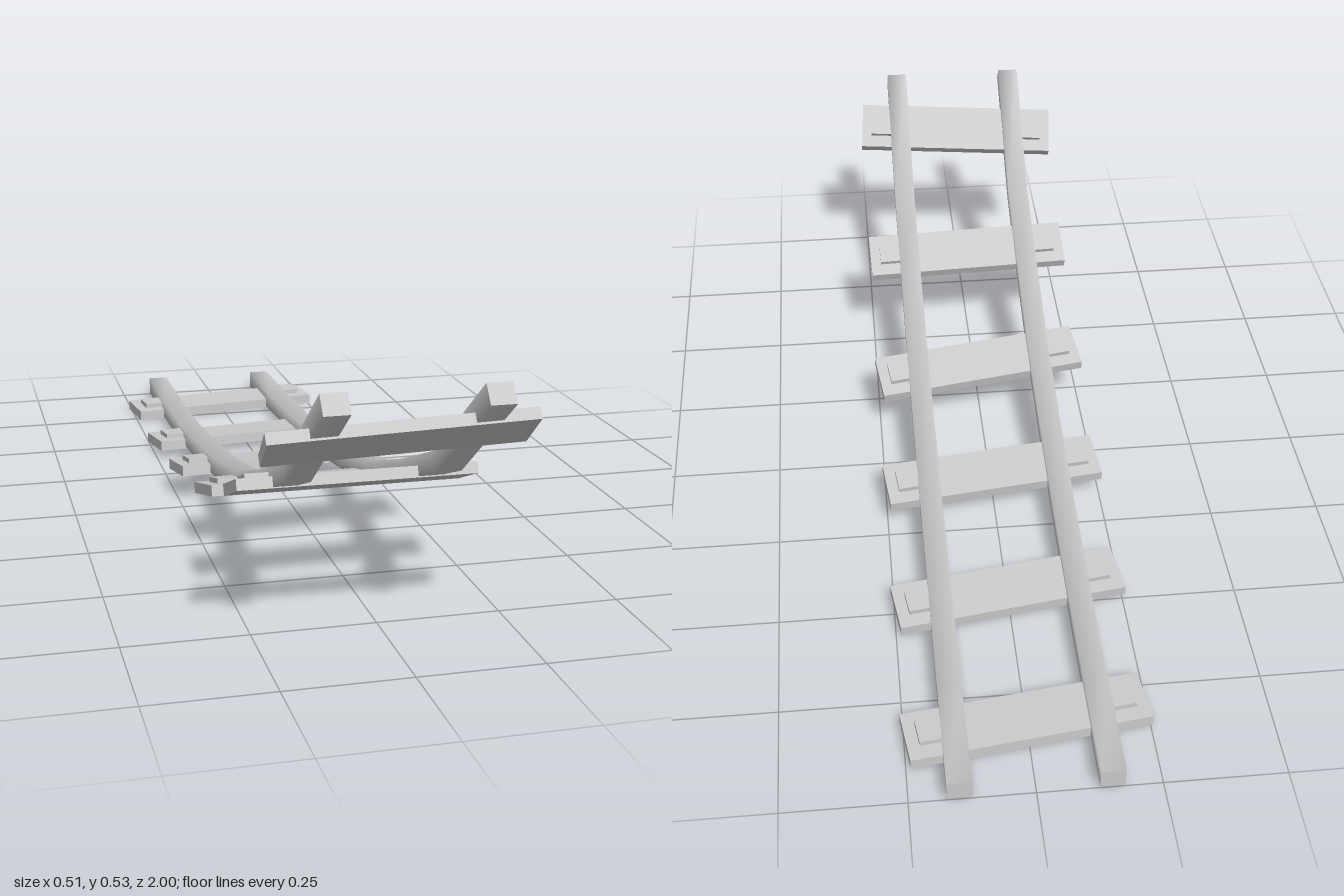
import * as THREE from 'three';

const material = new THREE.MeshStandardMaterial({ color: 0xcccccc, side: THREE.DoubleSide });

// Centre line of a rail as [z, y], from the flat end to the raised end
const path = [
  [-1, 0.027], [-0.75, 0.027], [-0.5, 0.037], [-0.25, 0.06], [0, 0.093],
  [0.235, 0.137], [0.48, 0.217], [0.71, 0.307], [0.986, 0.516],
];
const RAIL_W = 0.05, RAIL_H = 0.043, RAIL_X = 0.15;

function heightAt(z) {
  let i = 0;
  while (i < path.length - 2 && path[i + 1][0] < z) i++;
  const [z0, y0] = path[i], [z1, y1] = path[i + 1];
  return y0 + (y1 - y0) * (z - z0) / (z1 - z0);
}

// Square section swept along the path, with softened long sides and flat ends
function railGeometry() {
  const positions = [], index = [];
  const corners = [[-1, -1], [1, -1], [1, 1], [-1, 1]];
  const last = path.length - 1;
  const addRing = (i) => {
    const a = path[Math.max(i - 1, 0)], b = path[Math.min(i + 1, last)];
    const tilt = Math.atan2(b[1] - a[1], b[0] - a[0]);
    for (const [sx, sy] of corners) {
      const h = sy * RAIL_H / 2;
      positions.push(sx * RAIL_W / 2, path[i][1] + h * Math.cos(tilt), path[i][0] - h * Math.sin(tilt));
    }
  };
  for (let i = 0; i <= last; i++) addRing(i);
  for (let i = 0; i < last; i++) {
    for (let k = 0; k < 4; k++) {
      const a = i * 4 + k, b = i * 4 + (k + 1) % 4;
      index.push(a, b, b + 4, a, b + 4, a + 4);
    }
  }
  // End caps have their own corners
  const c = (last + 1) * 4;
  addRing(0);
  addRing(last);
  index.push(c, c + 2, c + 1, c, c + 3, c + 2);
  index.push(c + 4, c + 5, c + 6, c + 4, c + 6, c + 7);
  const geometry = new THREE.BufferGeometry();
  geometry.setAttribute('position', new THREE.Float32BufferAttribute(positions, 3));
  geometry.setIndex(index);
  geometry.computeVertexNormals();
  return geometry;
}

function box(name, w, h, d, x, y) {
  const mesh = new THREE.Mesh(new THREE.BoxGeometry(w, h, d), material);
  mesh.name = name;
  mesh.position.set(x, y, 0);
  return mesh;
}

// Plank with a raised pad under each rail
function sleeper(z, yaw, tilt) {
  const group = new THREE.Group();
  group.name = 'sleeper';
  group.add(box('plank', 0.5, 0.024, 0.12, 0, -0.0135));
  for (const side of [-1, 1]) {
    group.add(box('railPad', 0.09, 0.012, 0.056, side * 0.18, 0.0035));
  }
  group.position.set(0, heightAt(z), z);
  group.rotation.set(-tilt, yaw, 0, 'XYZ');
  return group;
}

export function createModel() {
  const model = new THREE.Group();
  model.name = 'curvedTrack';

  const rail = railGeometry();
  for (const side of [-1, 1]) {
    const mesh = new THREE.Mesh(rail, material);
    mesh.name = side > 0 ? 'leftRail' : 'rightRail';
    mesh.position.x = side * RAIL_X;
    model.add(mesh);
  }

  // Sleepers: z, yaw, tilt
  const sleepers = [
    [-0.827, 0.13, 0], [-0.476, 0.14, 0.075], [-0.128, 0.11, 0.14],
    [0.216, 0.14, 0.24], [0.55, 0.03, 0.4], [0.865, -0.08, 0.64],
  ];
  for (const s of sleepers) model.add(sleeper(...s));
  return model;
}
